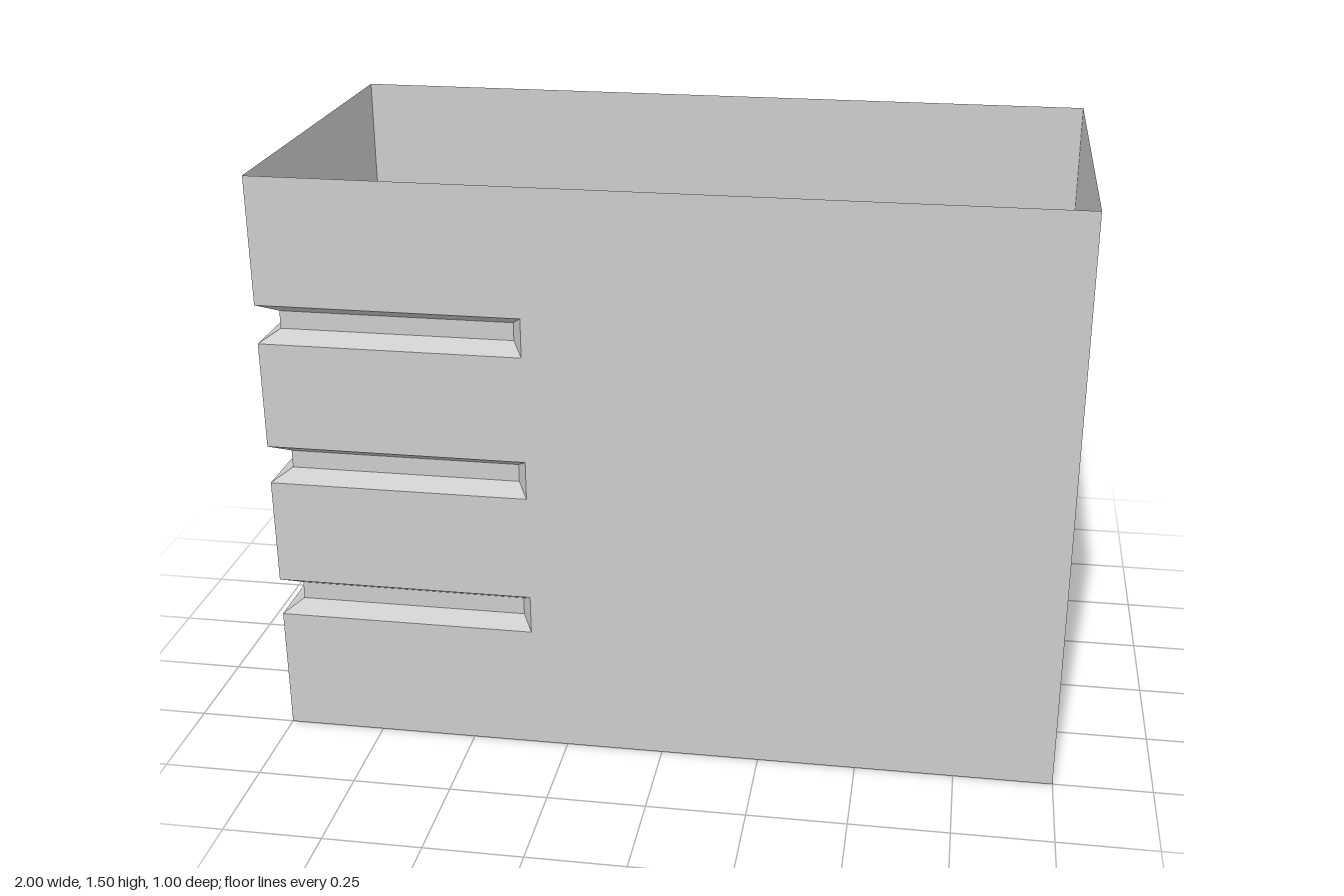
import * as THREE from 'three';

const H = 1.5, D = 0.5;                 // wall height, half depth
const SLOTS = [0.375, 0.75, 1.125];     // groove centre heights
const OUT = 0.05, IN = 0.023;           // groove half heights at mouth and floor
const END = -0.337, INSET = 0.045;      // groove end and depth

const material = new THREE.MeshStandardMaterial({
  color: 0xcccccc, flatShading: true, side: THREE.DoubleSide,
});

function addMesh(parent, name, geometry) {
  const mesh = new THREE.Mesh(geometry, material);
  mesh.name = name;
  parent.add(mesh);
  return mesh;
}

// Long wall outline with notches cut in from the grooved edge
function longWall(sx) {
  const pts = [[1, 0], [1, H], [-1, H]];
  for (const y of [...SLOTS].reverse()) {
    pts.push([-1, y + OUT], [END, y + OUT], [END, y - OUT], [-1, y - OUT]);
  }
  pts.push([-1, 0]);
  return new THREE.ShapeGeometry(
    new THREE.Shape(pts.map(([x, y]) => new THREE.Vector2(x * sx, y))));
}

// Bevelled groove that wraps around the two grooved corners
function groove(y) {
  const x = -1 + INSET, z = D - INSET, e = END - 0.028;
  const outer = [[END, D], [-1, D], [-1, -D], [END, -D]];
  const inner = [[e, z], [x, z], [x, -z], [e, -z]];
  const rings = outer.map((o, i) => [
    [o[0], y + OUT, o[1]],
    [inner[i][0], y + IN, inner[i][1]],
    [inner[i][0], y - IN, inner[i][1]],
    [o[0], y - OUT, o[1]],
  ]);
  const pos = [];
  const quad = (a, b, c, d) => pos.push(...a, ...b, ...c, ...a, ...c, ...d);
  for (let i = 0; i < 3; i++) {
    for (let j = 0; j < 3; j++) {
      quad(rings[i + 1][j], rings[i + 1][j + 1], rings[i][j + 1], rings[i][j]);
    }
  }
  // Slanted end faces
  quad(...rings[0]);
  quad(...[...rings[3]].reverse());
  const geometry = new THREE.BufferGeometry();
  geometry.setAttribute('position', new THREE.Float32BufferAttribute(pos, 3));
  geometry.computeVertexNormals();
  return geometry;
}

export function createModel() {
  const group = new THREE.Group();
  group.name = 'groovedSleeve';

  // Front and back walls
  addMesh(group, 'frontWall', longWall(1)).position.z = D;
  const back = addMesh(group, 'backWall', longWall(-1));
  back.position.z = -D;
  back.rotation.y = Math.PI;

  // Plain end wall
  const end = addMesh(group, 'plainEndWall', new THREE.PlaneGeometry(2 * D, H));
  end.position.set(1, H / 2, 0);
  end.rotation.y = Math.PI / 2;

  // Bands of the grooved end wall, between the grooves
  const edges = [0, ...SLOTS.flatMap((y) => [y - OUT, y + OUT]), H];
  for (let i = 0; i < edges.length; i += 2) {
    const h = edges[i + 1] - edges[i];
    const band = addMesh(group, `endBand${i / 2 + 1}`, new THREE.PlaneGeometry(2 * D, h));
    band.position.set(-1, edges[i] + h / 2, 0);
    band.rotation.y = -Math.PI / 2;
  }

  // Grooves
  SLOTS.forEach((y, i) => addMesh(group, `groove${i + 1}`, groove(y)));

  return group;
}
